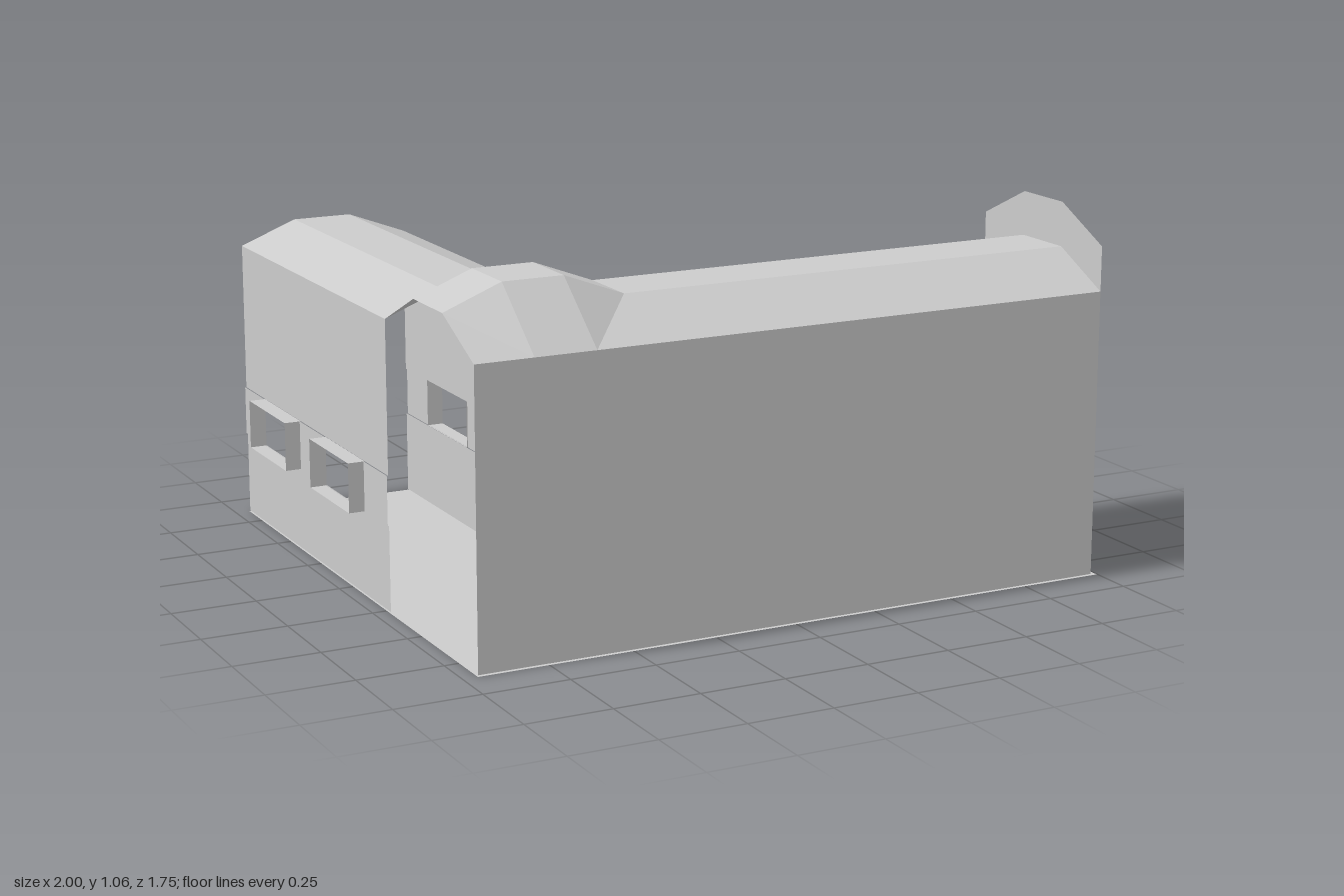
import * as THREE from 'three';

// All parts are open sheets, so both faces show
const sheet = new THREE.MeshStandardMaterial({ color: 0xcccccc, flatShading: true, side: THREE.DoubleSide });

// Main plan lines: the long wing runs along x, the short wing along z
const LEFT = 0.985, RIGHT = -0.951, INNER = -0.422;
const FRONT = 0.86, CORNER = 0.265, BACK = -0.873;
const EAVE = 0.835, LONG_RISE = 0.095, SHORT_RISE = 0.067;
const WINDOW_Z = [-0.055, -0.555], WINDOW_W = 0.3, SILL = 0.248, HEAD = 0.393;

function polygon(points) {
  return new THREE.Shape(points.map(([x, y]) => new THREE.Vector2(x, y)));
}

function rectangle(x0, y0, x1, y1) {
  return polygon([[x0, y0], [x1, y0], [x1, y1], [x0, y1]]);
}

// Turns shapes drawn as (z, y) into a sheet standing at the given x
function sideSheet(shapes, x) {
  return new THREE.ShapeGeometry(shapes).rotateY(-Math.PI / 2).translate(x, 0, 0);
}

// Faceted vaults of both wings, added together where they cross
function roofGeometry() {
  const xs = [RIGHT, -0.78, -0.6, INNER, LEFT], xRise = [0, SHORT_RISE, SHORT_RISE, 0, 0];
  const zs = [BACK, CORNER, 0.467, 0.66, FRONT], zRise = [0, 0, LONG_RISE, LONG_RISE, 0];
  const positions = [], index = [];
  zs.forEach((z, j) => xs.forEach((x, i) => {
    const y = j === 4 ? EAVE : EAVE + xRise[i] + zRise[j];
    positions.push(x, y, z);
  }));
  for (let j = 0; j < 4; j++) {
    for (let i = 0; i < 4; i++) {
      if (j === 0 && i === 3) continue; // open yard between the wings
      const a = j * 5 + i, b = a + 1, c = a + 5, d = c + 1;
      // The outer column folds the other way, mirroring the inner one
      if (i === 0) index.push(a, c, d, a, d, b);
      else index.push(a, c, b, b, c, d);
    }
  }
  const geometry = new THREE.BufferGeometry();
  geometry.setAttribute('position', new THREE.Float32BufferAttribute(positions, 3));
  geometry.setIndex(index);
  geometry.computeVertexNormals();
  return geometry;
}

export function createModel() {
  const group = new THREE.Group();
  const add = (name, geometry) => {
    const mesh = new THREE.Mesh(geometry, sheet);
    mesh.name = name;
    group.add(mesh);
  };

  // L-shaped floor, slightly wider than the walls
  const plan = polygon([
    [-0.957, 0.872], [0.998, 0.872], [0.998, 0.24], [-0.41, 0.24], [-0.41, -0.865], [-0.957, -0.865],
  ].map(([x, z]) => [x, -z]));
  add('floor', new THREE.ShapeGeometry(plan).rotateX(-Math.PI / 2));

  // Long walls of the front wing
  add('frontWall', new THREE.ShapeGeometry(rectangle(RIGHT, 0, LEFT, EAVE)).translate(0, 0, FRONT));
  add('yardWall', new THREE.ShapeGeometry(rectangle(-LEFT, 0, -INNER, EAVE))
    .rotateY(Math.PI).translate(0, 0, CORNER));

  // Windowed walls of the rear wing: plain panels, a pierced band and projecting open frames
  for (const [side, x, out] of [['right', RIGHT, -1], ['left', INNER, 1]]) {
    const band = rectangle(BACK, SILL, CORNER, HEAD);
    for (const z of WINDOW_Z) {
      band.holes.push(rectangle(z - WINDOW_W / 2, SILL + 0.001, z + WINDOW_W / 2, HEAD - 0.001));
      const frame = new THREE.CylinderGeometry(Math.SQRT1_2, Math.SQRT1_2, 1, 4, 1, true, Math.PI / 4)
        .rotateZ(Math.PI / 2)
        .scale(0.05, HEAD - SILL, WINDOW_W)
        .translate(x + out * 0.026, (SILL + HEAD) / 2, z);
      add(side + 'WindowFrame', frame);
    }
    add(side + 'WindowBand', sideSheet(band, x + out * 0.004));
    add(side + 'WallPanels', sideSheet(
      [rectangle(BACK, 0, CORNER, SILL), rectangle(BACK, HEAD, CORNER, EAVE)], x));
  }

  add('roof', roofGeometry());

  // Upright band following the vault at the open end of the long wing
  const arch = [[FRONT, EAVE], [0.66, EAVE + LONG_RISE], [0.467, EAVE + LONG_RISE], [CORNER, EAVE]];
  const upper = arch.map(([z, y]) => [z, y + 0.13]).reverse();
  add('endParapet', sideSheet(polygon([...arch, ...upper]), LEFT));

  return group;
}
